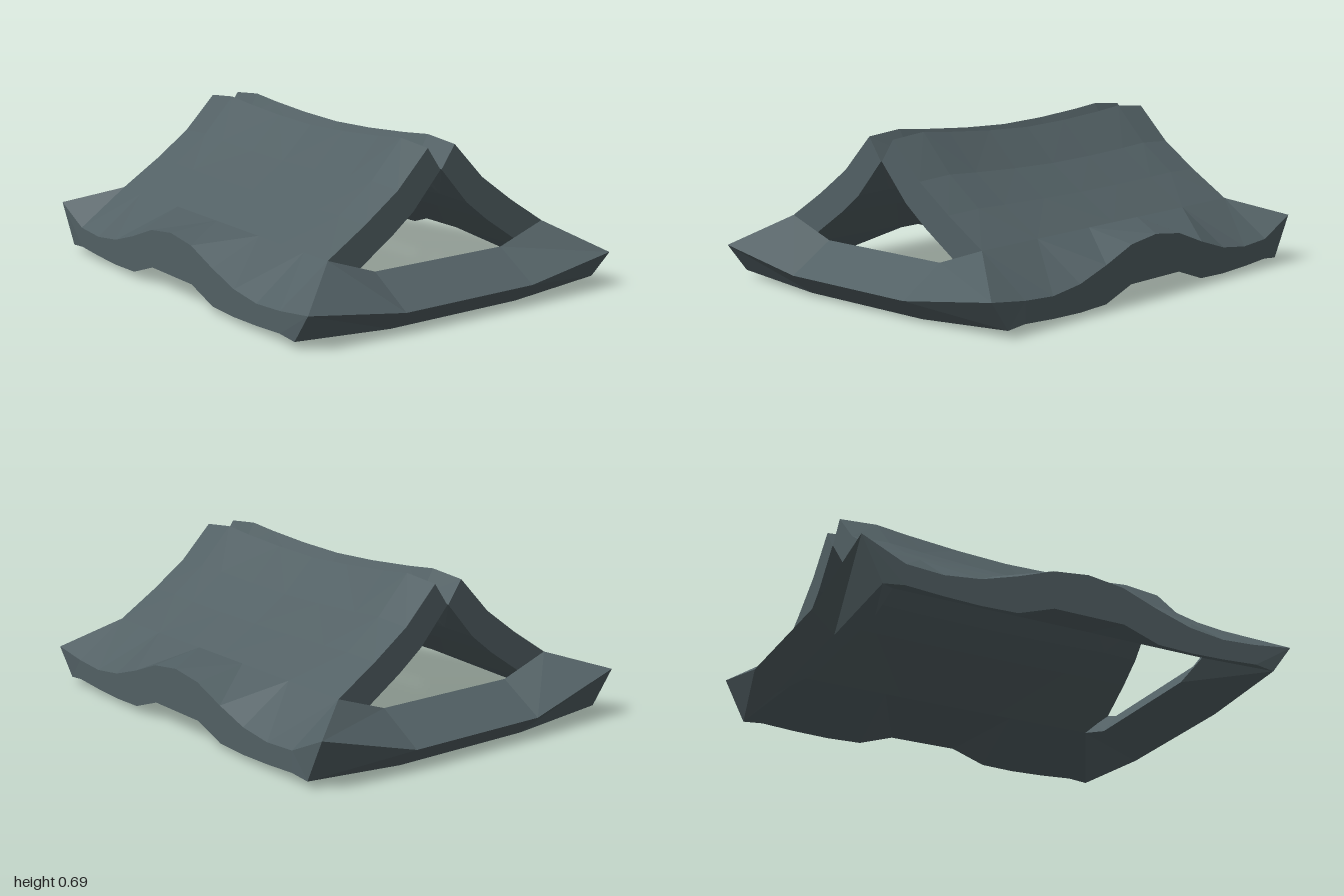
import * as THREE from 'three';

const slate = new THREE.MeshStandardMaterial({ color: 0x526064 });
slate.name = 'slate grey';

// Skin a row of equal-sized cross-sections with faceted faces; diagonals alternate.
function loft(sections, closed) {
  const out = [];
  const rows = sections.length, n = sections[0].length;
  const tri = (a, b, c) => out.push(...a, ...b, ...c);
  for (let i = 0; i < (closed ? rows : rows - 1); i++) {
    const s = sections[i], t = sections[(i + 1) % rows];
    for (let j = 0; j < n; j++) {
      const k = (j + 1) % n;
      const a = s[j], b = s[k], c = t[k], d = t[j];
      if (i % 2) { tri(a, d, c); tri(a, c, b); }
      else { tri(a, d, b); tri(d, c, b); }
    }
  }
  // End caps join each outer point to the inner point below it
  if (!closed) {
    const s = sections[0], t = sections[rows - 1];
    for (let j = 0; j < n / 2 - 1; j++) {
      const p = n - 1 - j, q = p - 1;
      tri(s[j], s[j + 1], s[q]); tri(s[j], s[q], s[p]);
      tri(t[j], t[q], t[j + 1]); tri(t[j], t[p], t[q]);
    }
  }
  const g = new THREE.BufferGeometry();
  g.setAttribute('position', new THREE.Float32BufferAttribute(out, 3));
  g.computeVertexNormals();
  return g;
}

// Sloping roof slab with a thick, slightly bowed section and a sagging ridge
function roofGeometry() {
  const profile = [
    [0.07, 0.69], [0.22, 0.53], [0.38, 0.41], [0.56, 0.29],
    [0.50, 0.17], [0.25, 0.34], [0.14, 0.43], [0.003, 0.59],
  ];
  const sag = [[0.8, 0.015], [0.63, 0], [0.48, 0.015], [0.24, 0.032], [0, 0.04]];
  const stations = [
    ...sag.map(([z, s]) => [-z, s]),
    ...sag.slice(0, -1).reverse(),
  ];
  return loft(stations.map(([z, s]) => profile.map(([x, y]) => {
    const lift = Math.max(0, (y - 0.29) / 0.4);
    const gap = x < 0.01 && Math.abs(z) < 0.7 ? 0.007 : 0;
    return [x + gap, y - s * lift, z];
  })), false);
}

// Rectangular base frame: wavy side rims, mitred corners and straight end bars
function frameGeometry() {
  const step = 0.16;
  const rimTop = [0.27, 0.25, 0.19, 0.14, 0.12, 0.13];
  const rimBottom = [0.085, 0.085, 0.03, 0.025, 0.03, 0.04];
  const corner = (end, y) => [
    [0.56, 0.29, end * 0.8], [0.785, y, end * 0.985],
    [0.78, 0.03, end * 0.89], [0.5, 0.17, end * 0.73],
  ];
  const side = [corner(-1, 0.215)];
  for (let i = -5; i <= 5; i++) {
    const k = Math.abs(i), z = i * step;
    side.push([
      [0.56, 0.29, z], [0.785, rimTop[k], z], [0.785, rimBottom[k], z],
      [0.5, 0.17, THREE.MathUtils.clamp(z, -0.7, 0.7)],
    ]);
  }
  side.push(corner(1, 0.155));

  const bar = (x, end) => [
    [x, 0.21, end * 0.8], [x, 0.09, end], [x, 0, end * 0.9], [x, 0.12, end * 0.73],
  ];
  const mirrored = side.map((s) => s.map(([x, y, z]) => [-x, y, z])).reverse();
  return loft([
    ...side, bar(0.33, 1), bar(-0.33, 1),
    ...mirrored, bar(-0.33, -1), bar(0.33, -1),
  ], true);
}

export function createModel() {
  const group = new THREE.Group();
  group.name = 'ridgedShelter';

  const frame = new THREE.Mesh(frameGeometry(), slate);
  frame.name = 'baseFrame';
  group.add(frame);

  // Two facing slabs meet along the ridge
  const roof = roofGeometry();
  ['leftRoofSlab', 'rightRoofSlab'].forEach((name, i) => {
    const slab = new THREE.Mesh(roof, slate);
    slab.name = name;
    slab.rotation.y = i * Math.PI;
    group.add(slab);
  });
  return group;
}
